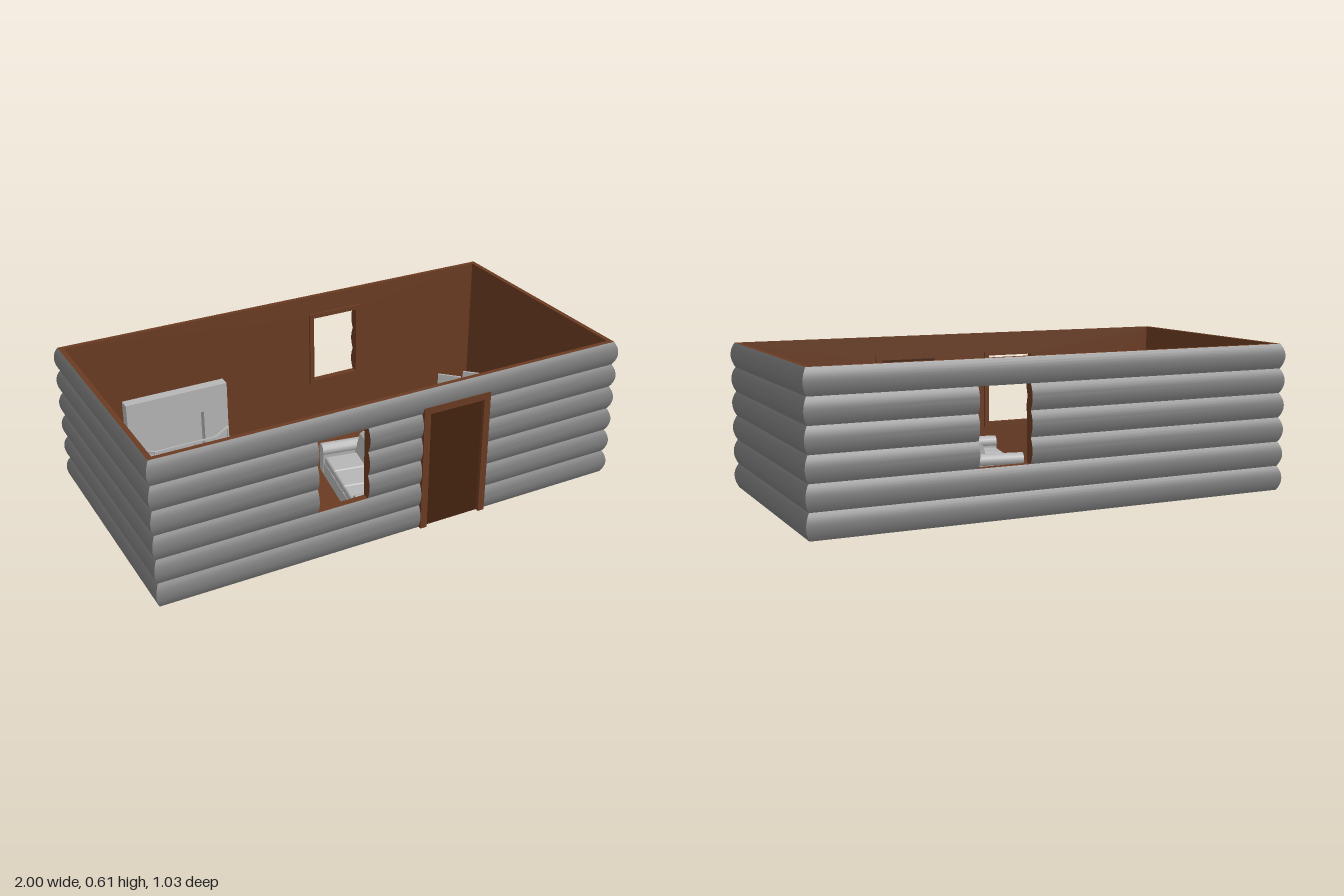
import * as THREE from 'three';
import { toCreasedNormals } from 'three/addons/utils/BufferGeometryUtils.js';
import { RoundedBoxGeometry } from 'three/addons/geometries/RoundedBoxGeometry.js';

const material = (name, color) => Object.assign(new THREE.MeshStandardMaterial({ color }), { name });
const logGrey = material('log grey', 0x808080);
const brown = material('wall brown', 0x6b3c22);
const doorBrown = material('door brown', 0x45230f);
const paleGrey = material('furniture grey', 0xb6b6b6);

const HX = 0.985, HZ = 0.5;        // plane where the logs meet the inner walls
const IX = 0.965, IZ = 0.48;       // inner wall faces
const BASE = 0.01, FLOOR = 0.02, COURSE = 0.1, BULGE = 0.015;
const WINDOW = [-0.35, -0.14, 0.21, 0.51];
const DOOR = [0.09, 0.385, BASE, 0.51];

function add(parent, name, geometry, mat, x = 0, y = 0, z = 0) {
  const mesh = new THREE.Mesh(geometry, mat);
  mesh.name = name;
  mesh.position.set(x, y, z);
  parent.add(mesh);
  return mesh;
}

const box = (parent, name, mat, w, h, d, x, y, z) =>
  add(parent, name, new THREE.BoxGeometry(w, h, d), mat, x, y, z);

function group(parent, name, x = 0, z = 0, turn = 0) {
  const g = new THREE.Group();
  g.name = name;
  g.position.set(x, 0, z);
  g.rotation.y = turn;
  parent.add(g);
  return g;
}

const polygon = (points) => new THREE.Shape(points.map(([x, y]) => new THREE.Vector2(x, y)));
const rect = (x0, x1, y0, y1) => polygon([[x0, y0], [x1, y0], [x1, y1], [x0, y1]]);
const extrude = (shape, depth) => new THREE.ExtrudeGeometry(shape, { depth, bevelEnabled: false });

// One bulging log along x from a to b, facing +z; wall ends are mitred
function logGeometry(a, b, half) {
  const points = [];
  for (let i = 0; i <= 10; i++) {
    const t = i / 10;
    points.push([BULGE * 4 * t * (1 - t), t * COURSE]);
  }
  const geo = extrude(polygon(points), b - a);
  const p = geo.attributes.position;
  for (let i = 0; i < p.count; i++) {
    const out = p.getX(i), end = p.getZ(i) > (b - a) / 2 ? 1 : 0;
    // Extrusion axis z becomes -x, so the far end lands on a
    let x = end ? a : b;
    if (Math.abs(x) === half) x += Math.sign(x) * out;
    p.setXYZ(i, x, p.getY(i), out);
  }
  geo.computeVertexNormals();
  return toCreasedNormals(geo, 0.5);
}

// Six log courses with gaps at the openings
function logWall(parent, name, half, distance, turn, openings) {
  const wall = group(parent, name, 0, 0, turn);
  for (let i = 0; i < 6; i++) {
    const y = BASE + i * COURSE, mid = y + COURSE / 2;
    let start = -half;
    const gaps = openings.filter((o) => mid > o[2] && mid < o[3]);
    for (const [x0, x1] of [...gaps, [half, half]]) {
      add(wall, 'log', logGeometry(start, x0, half), [brown, logGrey], 0, y, distance);
      start = x1;
    }
  }
  return wall;
}

// Casing boards round an opening
function casing(parent, name, [x0, x1, y0, y1], t, depth, z, sill) {
  const g = group(parent, name);
  const h = y1 - y0 + t, cx = (x0 + x1) / 2;
  for (const x of [x0 - t / 2, x1 + t / 2]) box(g, 'side casing', brown, t, h, depth, x, y0 + h / 2, z);
  box(g, 'head casing', brown, x1 - x0 + 2 * t, t, depth, cx, y1 + t / 2, z);
  if (sill) box(g, 'sill', brown, x1 - x0 + 2 * t, t, depth, cx, y0 - t / 2, z);
}

// Long wall: logs, inner panel and window
function longWall(parent, name, turn, openings) {
  const wall = logWall(parent, name, HX, HZ, turn, openings);
  const shape = rect(-HX, HX, BASE, 0.61);
  for (const [x0, x1, y0, y1] of openings) shape.holes.push(rect(x0, x1, Math.max(y0, FLOOR), y1));
  add(wall, 'inner panel', extrude(shape, HZ - IZ), brown, 0, 0, IZ);
  casing(wall, 'window casing', WINDOW, 0.02, 0.012, IZ - 0.003, true);
  return wall;
}

function buildFireplace(parent) {
  const g = group(parent, 'fireplace', -0.525, -IZ);
  const front = rect(-0.225, 0.225, FLOOR, 0.32);
  front.holes.push(rect(-0.115, 0.115, 0.035, 0.21));
  add(g, 'surround', extrude(front, 0.035), paleGrey, 0, 0, 0.012);
  box(g, 'fireback', paleGrey, 0.45, 0.3, 0.012, 0, 0.17, 0.006);
  const corners = [[-0.22, 0.05], [-0.135, 0.11], [0.135, 0.11], [0.22, 0.05]];
  const hearth = add(g, 'hearth', extrude(polygon([[-0.225, 0], [0.225, 0],
    ...[...corners].reverse()]), 0.012), paleGrey, 0, 0.032, 0);
  hearth.rotation.x = Math.PI / 2;
  // Fender rail and posts
  for (let i = 0; i < 3; i++) {
    const [x0, z0] = corners[i], [x1, z1] = corners[i + 1];
    const length = Math.hypot(x1 - x0, z1 - z0);
    const rail = box(g, 'fender rail', paleGrey, length, 0.008, 0.008, (x0 + x1) / 2, 0.11, (z0 + z1) / 2);
    rail.rotation.y = -Math.atan2(z1 - z0, x1 - x0);
  }
  for (const [x, z] of [...corners, [-0.045, 0.11], [0.045, 0.11]])
    box(g, 'fender post', paleGrey, 0.007, 0.114, 0.007, x, 0.057, z);
}

function buildSofa(parent) {
  const g = group(parent, 'sofa', 0.011, 0.205, -0.176);
  box(g, 'base', paleGrey, 0.215, 0.06, 0.48, 0, 0.055, 0);
  for (const z of [-0.124, 0, 0.124])
    add(g, 'seat cushion', new RoundedBoxGeometry(0.15, 0.035, 0.122, 2, 0.01), paleGrey, -0.032, 0.098, z);
  const back = polygon([[0.02, 0.08], [0.112, 0.08], [0.112, 0.195], [0.1, 0.203], [0.062, 0.203], [0.05, 0.195]]);
  add(g, 'backrest', extrude(back, 0.385), paleGrey, 0, 0, -0.1925);
  for (const s of [-1, 1]) {
    box(g, 'arm', paleGrey, 0.22, 0.1, 0.045, 0, 0.085, s * 0.213);
    const roll = add(g, 'arm roll', new THREE.CylinderGeometry(0.028, 0.028, 0.222, 12), paleGrey, 0, 0.134, s * 0.215);
    roll.rotation.z = Math.PI / 2;
    for (const x of [-0.09, 0.09]) box(g, 'foot', paleGrey, 0.015, 0.03, 0.015, x, 0.015, s * 0.215);
  }
}

function buildChair(parent, x, z, turn) {
  const g = group(parent, 'chair', x, z, turn);
  box(g, 'seat', paleGrey, 0.1, 0.014, 0.125, 0, 0.133, 0);
  for (const sx of [-1, 1]) for (const sz of [-1, 1])
    box(g, 'leg', paleGrey, 0.011, 0.13, 0.011, sx * 0.042, 0.065, sz * 0.052);
  const back = box(g, 'backrest', paleGrey, 0.1, 0.14, 0.012, 0, 0.205, -0.062);
  back.rotation.x = -0.12;
}

// Flat-topped table from an outline in x and z
function buildTable(parent, name, x, z, outline, height, legs) {
  const g = group(parent, name, x, z);
  const top = add(g, 'table top', extrude(polygon(outline), 0.014), paleGrey, 0, height, 0);
  top.rotation.x = Math.PI / 2;
  for (const [lx, lz] of legs)
    add(g, 'table leg', new THREE.CylinderGeometry(0.009, 0.007, height - 0.01, 8), paleGrey, lx, (height - 0.01) / 2, lz);
}

export function createModel() {
  const model = new THREE.Group();
  model.name = 'log cabin';

  // Shell
  box(model, 'floor', brown, IX * 2, FLOOR - BASE, IZ * 2, 0, (BASE + FLOOR) / 2, 0);
  const front = longWall(model, 'front wall', 0, [WINDOW, DOOR]);
  longWall(model, 'back wall', Math.PI, [WINDOW]);
  for (const s of [-1, 1]) {
    logWall(model, 'side wall', HZ, HX, s * Math.PI / 2, []);
    box(model, 'side inner panel', brown, HX - IX, 0.6, IZ * 2, s * (HX + IX) / 2, 0.31, 0);
  }

  // Door with casing outside and inside
  box(front, 'door', doorBrown, 0.29, 0.5, 0.016, 0.2375, 0.26, 0.492);
  casing(front, 'door casing', [0.12, 0.36, BASE, 0.51], 0.028, 0.018, 0.506, false);
  casing(front, 'inner door casing', [0.12, 0.36, FLOOR, 0.51], 0.028, 0.02, 0.483, false);

  // Furniture
  buildFireplace(model);
  buildSofa(model);
  buildTable(model, 'side table', -0.19, -0.04,
    [[-0.07, -0.09], [0.07, -0.1], [0.1, -0.01], [0.07, 0.09], [0.035, 0.11], [-0.04, 0.1], [-0.05, 0.06], [-0.11, 0]],
    0.14, [[-0.05, -0.06], [0.05, -0.07], [0.05, 0.07], [-0.035, 0.06]]);
  const oval = [];
  for (let i = 0; i < 16; i++) {
    const a = (i / 16) * Math.PI * 2, u = 0.18 * Math.cos(a), v = 0.115 * Math.sin(a);
    oval.push([(u - v) * Math.SQRT1_2, (u + v) * Math.SQRT1_2]);
  }
  buildTable(model, 'dining table', 0.55, 0.035, oval, 0.2, [[-0.08, -0.04], [-0.04, -0.08], [0.08, 0.04], [0.04, 0.08]]);
  for (const [x, z, turn] of [[0.24, 0.085, 1], [0.355, 0.045, 1], [0.575, -0.07, -1], [0.685, -0.04, -1]])
    buildChair(model, x, z, turn * Math.PI / 4);
  return model;
}
